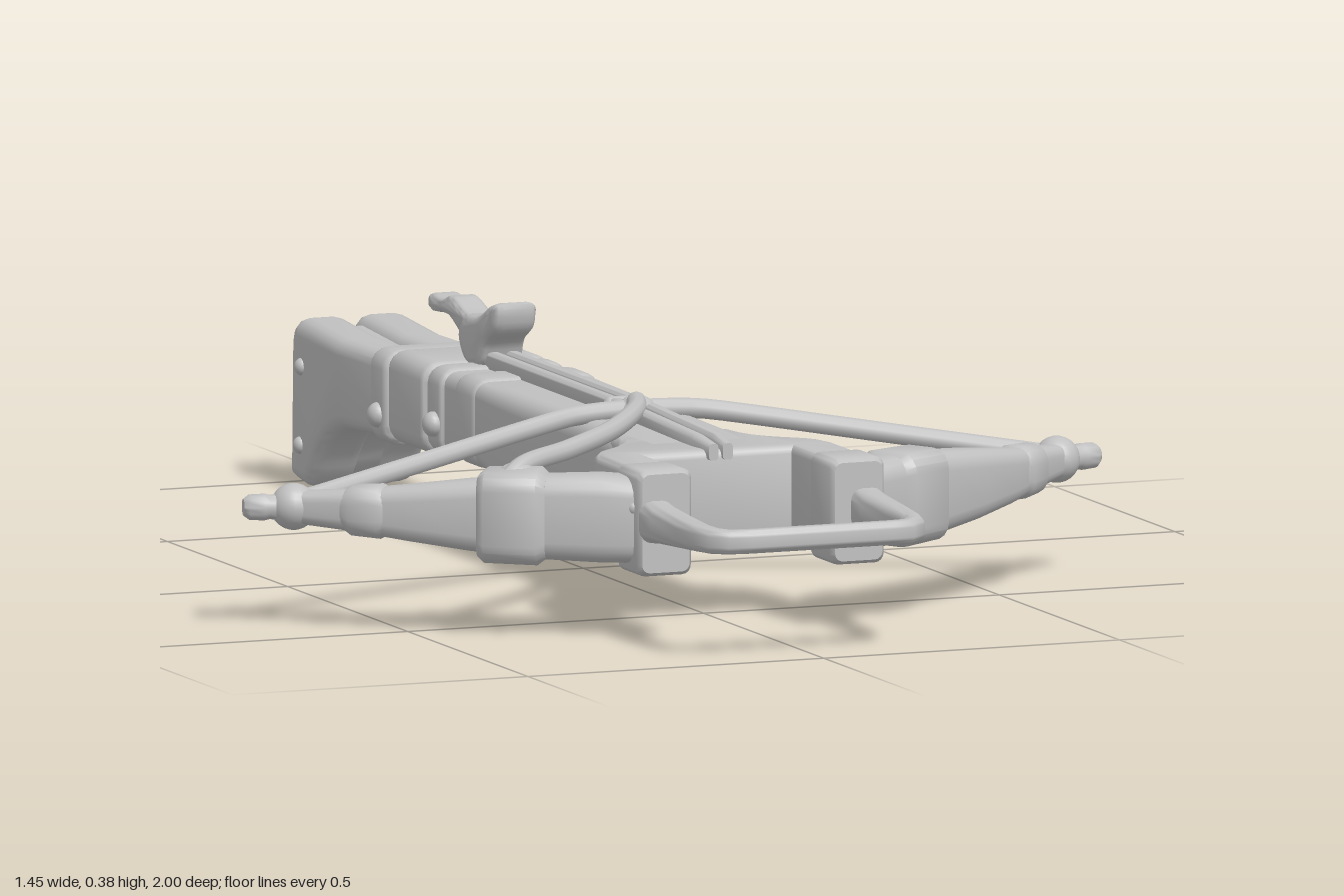
import * as THREE from 'three';
import { toCreasedNormals } from 'three/addons/utils/BufferGeometryUtils.js';

const grey = new THREE.MeshStandardMaterial({ color: 0xc0c0c0 });
grey.name = 'light grey';

export function createModel() {
  const model = new THREE.Group();
  model.name = 'crossbow';

  const add = (name, geo, x = 0, y = 0, z = 0) => {
    const m = new THREE.Mesh(geo, grey);
    m.name = name;
    m.position.set(x, y, z);
    model.add(m);
    return m;
  };

  // Rounded-rectangle sections [x, y, z, width, height] joined along a path
  const loft = (rows, round = 0.25) => {
    const pos = [], idx = [], SEG = 4, N = 4 * (SEG + 1);
    const up = new THREE.Vector3(0, 1, 0);
    const pts = rows.map(r => new THREE.Vector3(r[0], r[1], r[2]));
    rows.forEach(([, , , w, h], i) => {
      const t = pts[Math.min(i + 1, rows.length - 1)].clone().sub(pts[Math.max(i - 1, 0)]);
      t.y = 0;
      const side = up.clone().cross(t.normalize());
      const r = Math.min(w, h) * round;
      for (let c = 0; c < 4; c++) for (let k = 0; k <= SEG; k++) {
        const a = (c + k / SEG) * Math.PI / 2;
        const sx = c === 0 || c === 3 ? 1 : -1, sy = c < 2 ? 1 : -1;
        const u = sx * (w / 2 - r) + r * Math.cos(a), v = sy * (h / 2 - r) + r * Math.sin(a);
        pos.push(pts[i].x + side.x * u, pts[i].y + v, pts[i].z + side.z * u);
      }
    });
    for (let i = 0; i < rows.length - 1; i++) for (let j = 0; j < N; j++) {
      const a = i * N + j, b = i * N + (j + 1) % N;
      idx.push(a, b, b + N, a, b + N, a + N);
    }
    const last = (rows.length - 1) * N;
    for (let j = 1; j < N - 1; j++) idx.push(0, j + 1, j, last, last + j, last + j + 1);
    const g = new THREE.BufferGeometry();
    g.setAttribute('position', new THREE.Float32BufferAttribute(pos, 3));
    g.setIndex(idx);
    return toCreasedNormals(g, 0.8);
  };

  const extrude = (shape, depth, bevel) => {
    const g = new THREE.ExtrudeGeometry(shape, {
      depth: depth - 2 * bevel, bevelEnabled: bevel > 0, bevelSize: bevel, bevelThickness: bevel,
      bevelOffset: -bevel, bevelSegments: 3, curveSegments: 8,
    });
    g.translate(0, 0, -(depth - 2 * bevel) / 2);
    return toCreasedNormals(g, 0.8);
  };
  // Profile in (z, y), thick along x
  const sidePlate = (shape, depth, bevel) => extrude(shape, depth, bevel).rotateY(-Math.PI / 2);
  // Profile in (x, z), thick along y
  const topPlate = (shape, depth, bevel) => extrude(shape, depth, bevel).rotateX(Math.PI / 2);
  const smoothShape = p => new THREE.Shape(
    new THREE.CatmullRomCurve3(p.map(([a, b]) => new THREE.Vector3(a, b, 0)), true, 'centripetal')
      .getPoints(p.length * 4).slice(0, -1).map(v => new THREE.Vector2(v.x, v.y)));
  const rope = (p, r) => new THREE.TubeGeometry(
    new THREE.CatmullRomCurve3(p.map(q => new THREE.Vector3(...q)), false, 'centripetal'), 48, r, 10);

  // Stock
  add('stock', loft([
    [0, 0.195, -0.64, 0.185, 0.13], [0, 0.2, -0.5, 0.205, 0.135], [0, 0.205, -0.27, 0.205, 0.132],
    [0, 0.205, -0.19, 0.21, 0.135], [0, 0.195, -0.09, 0.21, 0.155], [0, 0.19, 0, 0.21, 0.165],
    [0, 0.19, 0.25, 0.205, 0.165], [0, 0.188, 0.54, 0.21, 0.16],
  ], 0.18));

  // Bands wrapped around the grip: [z start, z end, width, y bottom, y top]
  [[-0.19, -0.275, 0.216, 0.134, 0.277], [-0.325, -0.385, 0.218, 0.133, 0.275],
    [-0.395, -0.545, 0.222, 0.128, 0.275], [-0.55, -0.615, 0.226, 0.12, 0.271]].forEach(([a, b, w, y0, y1]) => {
    const y = (y0 + y1) / 2, h = y1 - y0;
    add('gripBand', loft([
      [0, y, b, w - 0.014, h - 0.014], [0, y, b + 0.004, w - 0.004, h - 0.004], [0, y, b + 0.012, w, h],
      [0, y, a - 0.012, w, h], [0, y, a - 0.004, w - 0.004, h - 0.004], [0, y, a, w - 0.014, h - 0.014],
    ], 0.2));
  });

  // Butt made of two slabs with a web between
  const butt = new THREE.Shape();
  butt.moveTo(-0.58, 0.258);
  butt.lineTo(-0.58, 0.127);
  butt.lineTo(-0.78, 0.113);
  butt.quadraticCurveTo(-0.85, 0.1, -0.89, 0.045);
  butt.quadraticCurveTo(-0.915, 0.003, -0.94, 0.0);
  butt.lineTo(-0.985, 0.006);
  butt.quadraticCurveTo(-1, 0.008, -1, 0.025);
  butt.lineTo(-0.995, 0.22);
  butt.quadraticCurveTo(-0.99, 0.264, -0.955, 0.264);
  butt.lineTo(-0.8, 0.254);
  for (const s of [-1, 1]) add('buttSlab', sidePlate(butt, 0.086, 0.024), s * 0.051);
  const web = sidePlate(butt, 0.04, 0);
  web.translate(0, -0.14, 0.8).scale(1, 0.88, 0.92);
  add('buttWeb', web, 0, 0.14, -0.8);

  // Fork at the front
  const fork = new THREE.Shape();
  fork.moveTo(-0.1, 0.36);
  fork.lineTo(0.1, 0.36);
  fork.bezierCurveTo(0.11, 0.5, 0.19, 0.46, 0.2, 0.55);
  fork.lineTo(0.2, 0.735);
  fork.lineTo(0.122, 0.735);
  fork.lineTo(0.122, 0.565);
  fork.lineTo(-0.122, 0.565);
  fork.lineTo(-0.122, 0.735);
  fork.lineTo(-0.2, 0.735);
  fork.lineTo(-0.2, 0.55);
  fork.bezierCurveTo(-0.19, 0.46, -0.11, 0.5, -0.1, 0.36);
  add('fork', topPlate(fork, 0.16, 0.014), 0, 0.189, 0);
  for (const s of [-1, 1]) {
    add('forkCap', loft([
      [s * 0.163, 0.187, 0.65, 0.085, 0.16], [s * 0.163, 0.187, 0.66, 0.092, 0.168],
      [s * 0.163, 0.187, 0.735, 0.092, 0.168], [s * 0.163, 0.187, 0.745, 0.08, 0.156],
    ], 0.16));
  }

  // Foot stirrup, swept from one tine to the other
  const leg = [[0.178, 0.73, 0.058, 0.07], [0.178, 0.78, 0.052, 0.058], [0.177, 0.87, 0.042, 0.048],
    [0.175, 0.93, 0.036, 0.042], [0.168, 0.962, 0.034, 0.04], [0.15, 0.98, 0.032, 0.038], [0.12, 0.984, 0.032, 0.038]];
  const stirrup = leg.map(([x, z, w, h]) => [x, 0.19, z, w, h]);
  add('stirrup', loft([...stirrup, ...stirrup.map(([x, ...r]) => [-x, ...r]).reverse()], 0.35));

  // Bow limbs with collars, knobs and tips
  for (const s of [-1, 1]) {
    const m = rows => rows.map(([x, ...r]) => [s * x, ...r]);
    add('bowLimb', loft(m([
      [0.16, 0.186, 0.695, 0.09, 0.135], [0.24, 0.19, 0.665, 0.09, 0.14], [0.33, 0.19, 0.615, 0.085, 0.132],
      [0.42, 0.19, 0.56, 0.078, 0.112], [0.5, 0.19, 0.507, 0.068, 0.088], [0.57, 0.19, 0.45, 0.056, 0.066],
      [0.645, 0.19, 0.385, 0.046, 0.05],
    ]), 0.35));
    const [bx, bz] = s > 0 ? [0.285, 0.637] : [0.36, 0.595];
    add('limbBand', loft(m([
      [bx - 0.047, 0.19, bz + 0.027, 0.092, 0.13], [bx - 0.036, 0.19, bz + 0.021, 0.114, 0.15],
      [bx + 0.036, 0.19, bz - 0.021, 0.11, 0.146], [bx + 0.047, 0.19, bz - 0.027, 0.088, 0.126],
    ]), 0.28));
    add('limbCollar', loft(m([
      [0.525, 0.19, 0.487, 0.06, 0.07], [0.535, 0.19, 0.479, 0.074, 0.086],
      [0.57, 0.19, 0.45, 0.07, 0.08], [0.582, 0.19, 0.44, 0.054, 0.06],
    ]), 0.4));
    add('tipKnob', new THREE.SphereGeometry(0.037, 20, 14), s * 0.645, 0.19, 0.382);
    add('limbTip', loft(m([
      [0.64, 0.19, 0.386, 0.05, 0.05], [0.682, 0.19, 0.373, 0.038, 0.038],
      [0.69, 0.19, 0.371, 0.042, 0.042], [0.713, 0.19, 0.364, 0.04, 0.04], [0.722, 0.19, 0.362, 0.026, 0.026],
    ]), 0.45));
  }

  // Bowstring, its loose cord and the knots
  const half = [[0.65, 0.195, 0.38], [0.4, 0.234, 0.307], [0.16, 0.272, 0.238], [0.11, 0.279, 0.225], [0.05, 0.283, 0.222]];
  add('bowString', rope([...half, ...half.map(([x, y, z]) => [-x, y, z]).reverse()], 0.016));
  add('looseCord', rope([[0, 0.296, 0.22], [-0.03, 0.294, 0.29], [-0.12, 0.284, 0.41],
    [-0.23, 0.274, 0.505], [-0.34, 0.264, 0.58], [-0.385, 0.24, 0.61]], 0.016));
  add('stringKnot', new THREE.SphereGeometry(0.03, 20, 14), 0, 0.284, 0.222).scale.set(1, 0.75, 1);
  add('cordKnot', new THREE.SphereGeometry(0.026, 16, 12), -0.35, 0.256, 0.585).scale.set(1.1, 0.6, 1);

  // Bolt rails along the top
  for (const s of [-1, 1]) {
    add('boltRail', loft([
      [s * 0.016, 0.279, -0.34, 0.022, 0.034], [s * 0.016, 0.279, 0.2, 0.022, 0.034],
      [s * 0.016, 0.27, 0.52, 0.022, 0.034], [s * 0.012, 0.266, 0.572, 0.016, 0.026],
    ], 0.3));
  }
  add('railPin', new THREE.CapsuleGeometry(0.012, 0.045, 6, 12).rotateZ(Math.PI / 2), 0, 0.286, 0.17);

  // Release lever: broad head and slim tail
  add('leverHead', sidePlate(smoothShape([[-0.28, 0.378], [-0.31, 0.375], [-0.36, 0.352], [-0.42, 0.342],
    [-0.44, 0.31], [-0.41, 0.27], [-0.345, 0.27], [-0.325, 0.31], [-0.285, 0.338]]), 0.074, 0.015));
  add('leverTail', sidePlate(smoothShape([[-0.38, 0.335], [-0.44, 0.345], [-0.5, 0.362], [-0.535, 0.352],
    [-0.585, 0.353], [-0.585, 0.33], [-0.51, 0.33], [-0.46, 0.31], [-0.4, 0.275]]), 0.052, 0.01));

  // Trigger
  add('trigger', sidePlate(smoothShape([[-0.21, 0.145], [-0.23, 0.122], [-0.252, 0.08], [-0.256, 0.012],
    [-0.268, 0.012], [-0.284, 0.08], [-0.285, 0.145]]), 0.03, 0.006));

  // Rivets on both sides: [x, y, z, radius]
  [[0.112, 0.167, -0.58, 0.02], [0.112, 0.185, -0.35, 0.02], [0.106, 0.125, 0.36, 0.017],
    [0.092, 0.19, -0.945, 0.014], [0.092, 0.065, -0.95, 0.014], [0.207, 0.21, 0.715, 0.013]].forEach(([x, y, z, r]) => {
    for (const s of [-1, 1]) add('rivet', new THREE.SphereGeometry(r, 14, 10), s * x, y, z).scale.x = 0.85;
  });

  return model;
}
